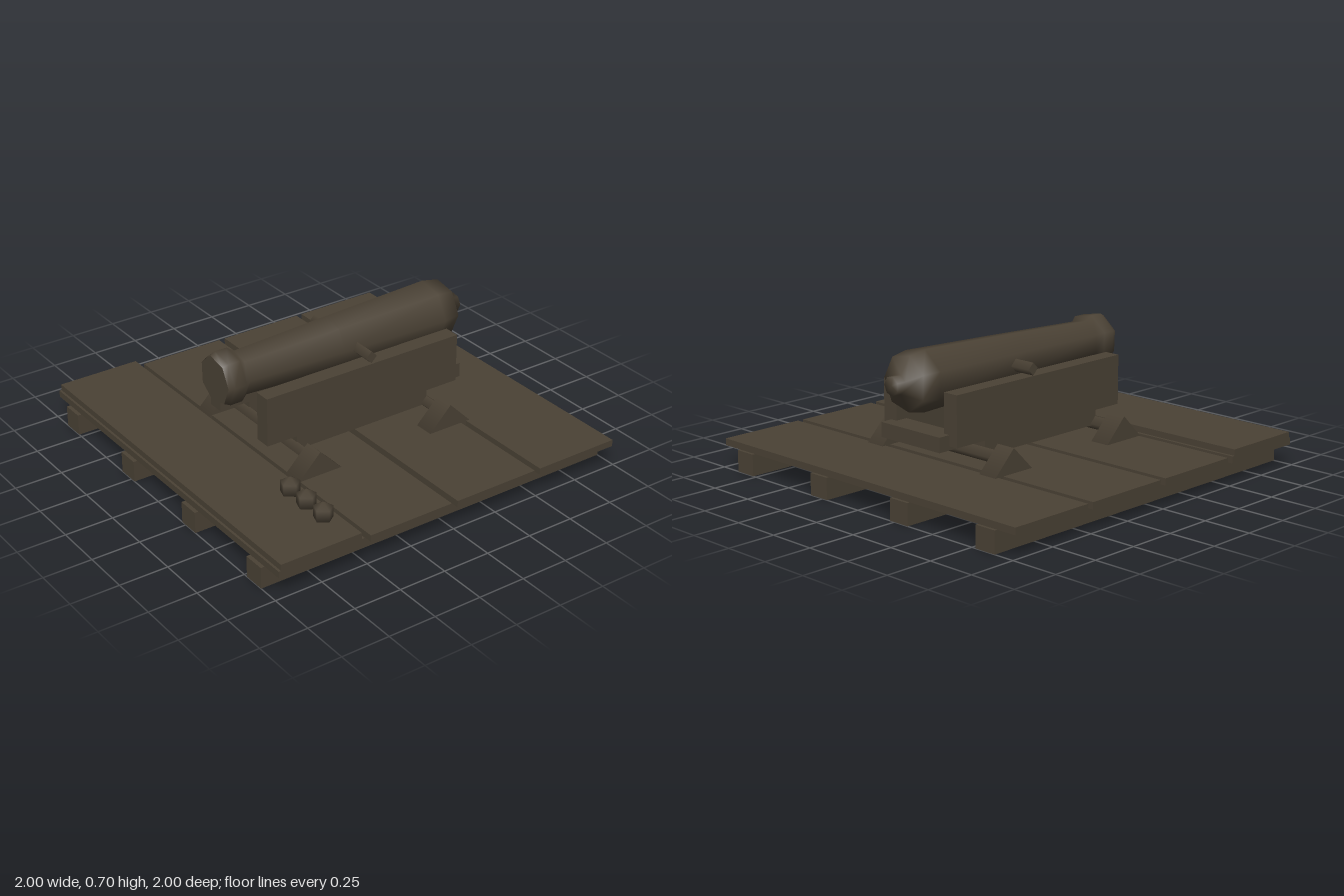
import * as THREE from 'three';

export function createModel() {
  const model = new THREE.Group();
  model.name = 'cannonOnDeck';
  const wood = new THREE.MeshStandardMaterial({ color: 0x4b4235 });
  wood.name = 'darkBrown';

  function add(name, geometry, x = 0, y = 0, z = 0) {
    const mesh = new THREE.Mesh(geometry, wood);
    mesh.name = name;
    mesh.position.set(x, y, z);
    model.add(mesh);
    return mesh;
  }
  // Box given by its limits on each axis
  function box(name, x0, x1, y0, y1, z0, z1) {
    return add(name, new THREE.BoxGeometry(x1 - x0, y1 - y0, z1 - z0),
      (x0 + x1) / 2, (y0 + y1) / 2, (z0 + z1) / 2);
  }
  // Four-sided rod lying along x, one edge up
  function rod(name, radius, length, x, y, z) {
    return add(name, new THREE.CylinderGeometry(radius, radius, length, 4).rotateZ(Math.PI / 2), x, y, z);
  }

  // Deck: joists, planks and the raised front board
  for (const x of [-0.832, -0.28, 0.277, 0.829]) box('joist', x - 0.058, x + 0.058, 0, 0.11, -1, 1);
  for (const [z0, z1] of [[-0.985, -0.52], [-0.487, -0.02], [0.015, 0.48], [0.515, 0.98]]) {
    box('plank', -1, 1, 0.11, 0.145, z0, z1);
  }
  box('frontBoard', -1, 1, 0.145, 0.177, 0.53, 0.968);

  // Carriage cheeks, cut away below at both ends
  const side = new THREE.Shape([
    [-0.6, 0.52], [-0.6, 0.265], [-0.415, 0.265], [-0.415, 0.19],
    [0.367, 0.19], [0.367, 0.265], [0.535, 0.265], [0.535, 0.52],
  ].map(([z, y]) => new THREE.Vector2(-z, y)));
  for (const s of [-1, 1]) {
    const geo = new THREE.ExtrudeGeometry(side, { depth: 0.085, bevelEnabled: false });
    geo.translate(0, 0, -0.0425).rotateY(Math.PI / 2);
    add('carriageCheek', geo, s * 0.207, 0, 0);
  }
  box('rearTransom', -0.2, 0.2, 0.245, 0.32, -0.665, -0.535);

  // Axles and wheels
  for (const z of [0.365, -0.417]) {
    rod('axle', 0.034, 0.7, 0, 0.2, z);
    for (const s of [-1, 1]) rod('wheel', 0.131, 0.106, s * 0.388, 0.137, z);
  }

  // Seven-sided barrel, turned from knob to muzzle
  const profile = [
    [0, -0.78], [0.048, -0.78], [0.048, -0.73], [0.14, -0.695], [0.158, -0.6],
    [0.135, 0], [0.111, 0.535], [0.136, 0.57], [0.137, 0.635], [0.122, 0.664],
  ].map(([r, z]) => new THREE.Vector2(r, z));
  add('barrel', new THREE.LatheGeometry(profile, 7, 0.711).rotateX(Math.PI / 2), 0, 0.552, 0);
  // Flat muzzle face, corners matched to the barrel
  add('muzzleFace', new THREE.CircleGeometry(0.122, 7, 0.711 - Math.PI / 2), 0, 0.552, 0.664);
  rod('trunnion', 0.032, 0.484, 0, 0.552, -0.078);

  // Cannonballs
  for (const x of [0.532, 0.664, 0.798]) {
    add('cannonball', new THREE.SphereGeometry(0.057, 5, 3).rotateY(Math.PI), x, 0.208, 0.6);
  }
  return model;
}
